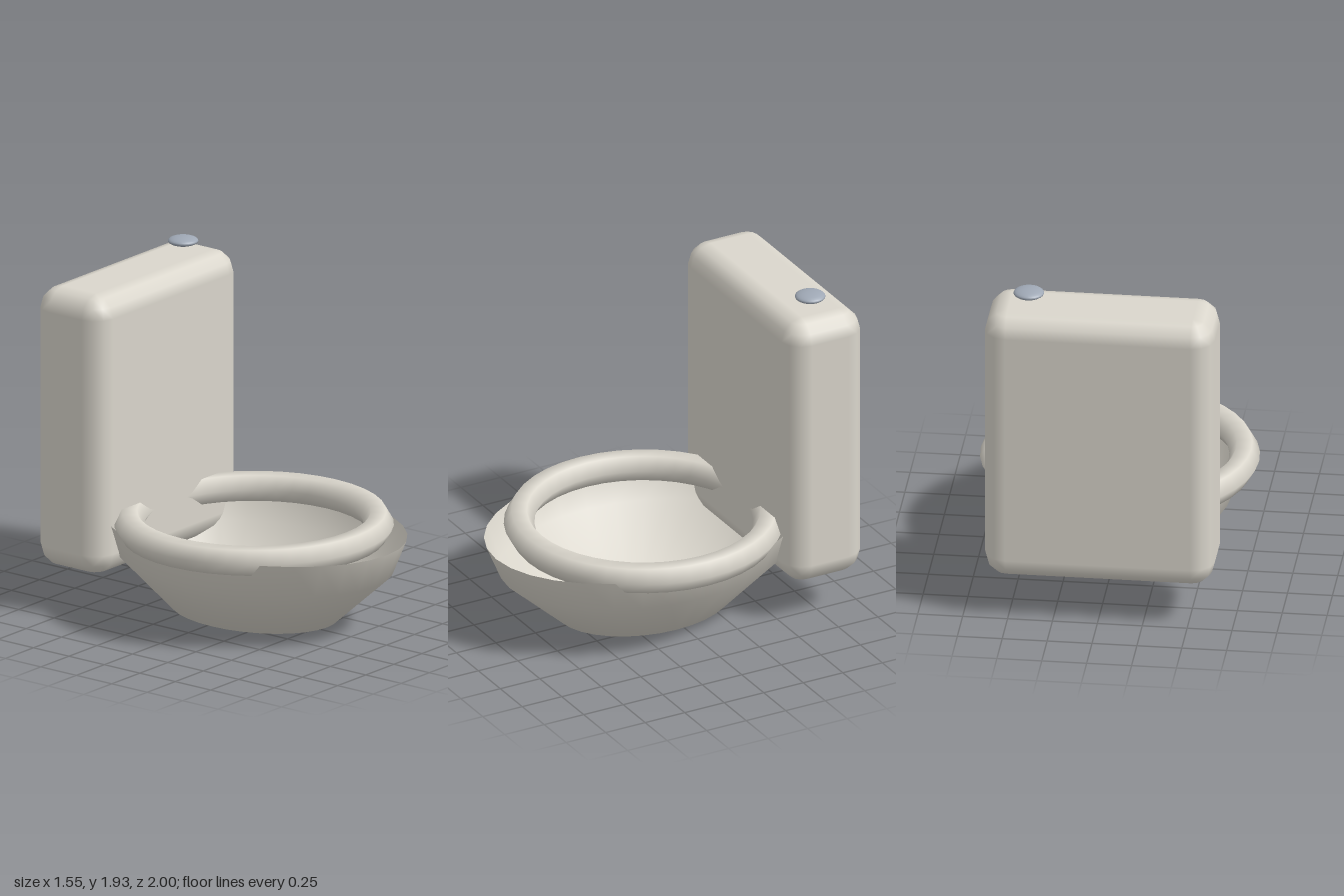
import * as THREE from 'three';
import { ConvexGeometry } from 'three/addons/geometries/ConvexGeometry.js';

// Box with edges rounded in 30 degree steps and smooth normals
function roundedBox(w, h, d, r) {
  const inner = new THREE.Vector3(w / 2 - r, h / 2 - r, d / 2 - r);
  const points = [];
  for (const sx of [-1, 1]) for (const sy of [-1, 1]) for (const sz of [-1, 1]) {
    for (let i = 0; i <= 3; i++) {
      for (let j = 0; j <= (i === 3 ? 0 : 3); j++) {
        const lat = i * Math.PI / 6, lon = j * Math.PI / 6;
        points.push(new THREE.Vector3(
          sx * (inner.x + r * Math.cos(lat) * Math.cos(lon)),
          sy * (inner.y + r * Math.sin(lat)),
          sz * (inner.z + r * Math.cos(lat) * Math.sin(lon))));
      }
    }
  }
  const geometry = new ConvexGeometry(points);
  const { position, normal } = geometry.attributes;
  const p = new THREE.Vector3(), core = new THREE.Vector3();
  const low = inner.clone().negate();
  for (let i = 0; i < position.count; i++) {
    p.fromBufferAttribute(position, i);
    core.copy(p).clamp(low, inner);
    p.sub(core).normalize();
    normal.setXYZ(i, p.x, p.y, p.z);
  }
  return geometry;
}

export function createModel() {
  const model = new THREE.Group();
  model.name = 'toilet';

  const ceramic = new THREE.MeshStandardMaterial({ color: 0xdad6cc, side: THREE.DoubleSide });
  ceramic.name = 'ceramic';
  const metal = new THREE.MeshStandardMaterial({ color: 0x9fa8b5 });
  metal.name = 'metal';

  const add = (name, geometry, material, x, y, z) => {
    const mesh = new THREE.Mesh(geometry, material);
    mesh.name = name;
    mesh.position.set(x, y, z);
    model.add(mesh);
    return mesh;
  };

  // Open oval bowl, a single thin shell
  const profile = [[0, 0], [0.51, 0.02], [0.845, 0.32], [0.93, 0.52]]
    .map(([x, y]) => new THREE.Vector2(x, y));
  add('bowl', new THREE.LatheGeometry(profile, 32), ceramic, 0, 0, 0.07).scale.x = 0.745;

  // Seat ring with a six-sided section
  const ring = new THREE.TorusGeometry(0.69, 0.085, 6, 40).rotateX(Math.PI / 2);
  add('seat', ring, ceramic, 0, 0.523, 0.065);

  // Water tank
  add('tank', roundedBox(1.28, 1.615, 0.48, 0.125), ceramic, 0, 1.0375, -0.76);

  // Flush button hovering over the tank
  add('flushButton', new THREE.SphereGeometry(0.085, 24, 12), metal, 0.41, 1.9, -0.76).scale.y = 0.3;

  return model;
}
